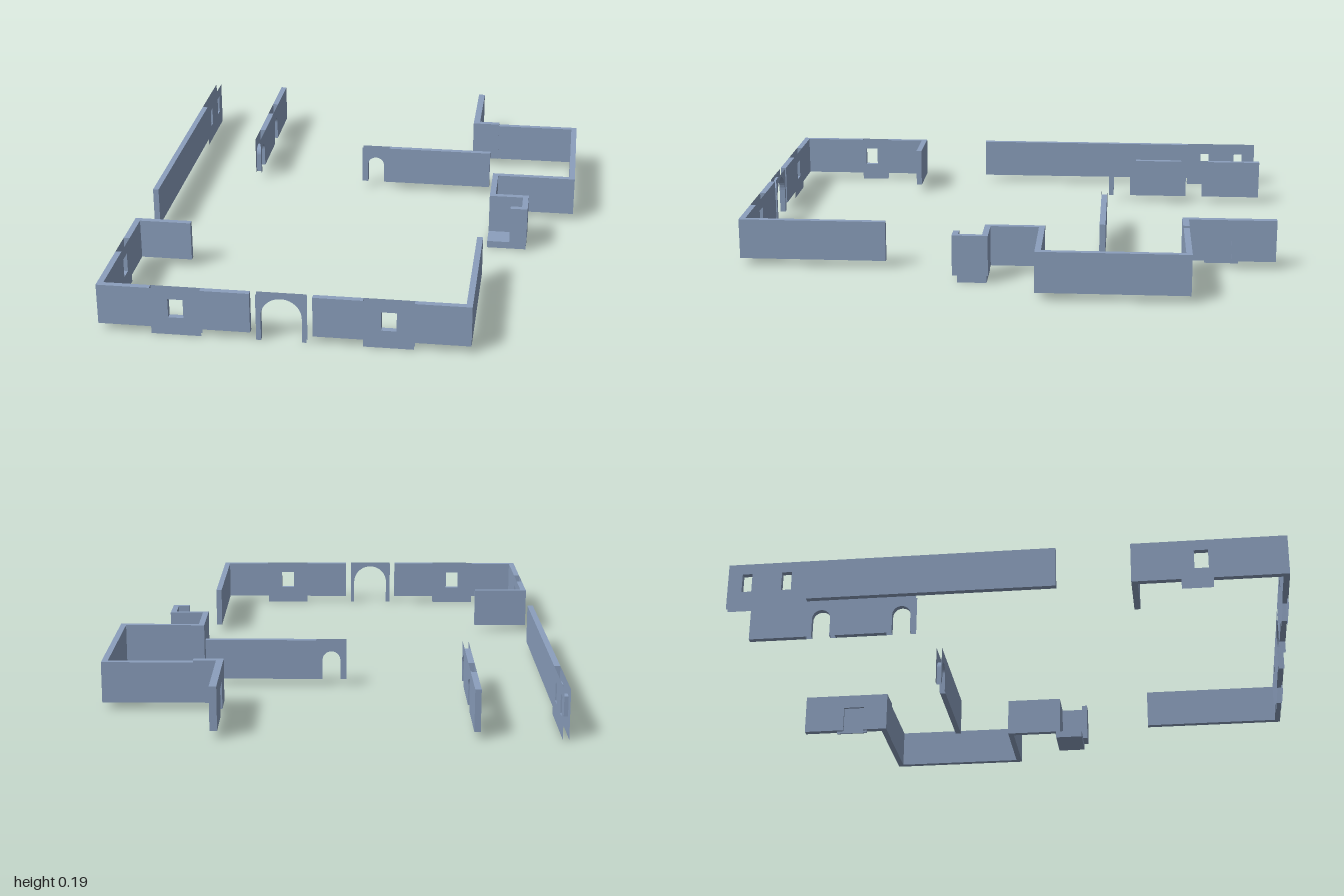
import * as THREE from 'three';

const T = 0.022;             // wall thickness
const Y0 = 0.027, Y1 = 0.178; // underside and top of the walls

export function createModel() {
  const root = new THREE.Group();
  const mat = new THREE.MeshStandardMaterial({ color: 0x8b9fbd, side: THREE.DoubleSide, flatShading: true });

  const add = (name, geo, parent = root) => {
    const mesh = new THREE.Mesh(geo, mat);
    mesh.name = name;
    parent.add(mesh);
    return mesh;
  };

  // Solid block between two corners on the plan
  const block = (name, x0, x1, z0, z1, y0 = Y0, y1 = Y1) =>
    add(name, new THREE.BoxGeometry(x1 - x0, y1 - y0, z1 - z0)
      .translate((x0 + x1) / 2, (y0 + y1) / 2, (z0 + z1) / 2));

  // Lining of an opening: a strip swept along its outline
  const lining = (pts, d0, d1) => {
    const pos = [], idx = [];
    pts.forEach((p, i) => {
      pos.push(p.x, p.y, d0, p.x, p.y, d1);
      if (i) { const a = 2 * i - 2; idx.push(a, a + 1, a + 2, a + 1, a + 3, a + 2); }
    });
    const g = new THREE.BufferGeometry();
    g.setAttribute('position', new THREE.Float32BufferAttribute(pos, 3));
    g.setIndex(idx);
    g.computeVertexNormals();
    return g;
  };

  // Hollow panel: two faces and the lining, open along its outer edges
  const panel = (name, shape, outline, start, alongZ) => {
    const group = new THREE.Group();
    group.name = name;
    const d0 = alongZ ? -start - T : start, d1 = d0 + T;
    add('panelFace', new THREE.ShapeGeometry(shape).translate(0, 0, d1), group);
    add('panelBack', new THREE.ShapeGeometry(shape).scale(1, 1, -1).translate(0, 0, d0), group);
    add('openingLining', lining(outline, d0, d1), group);
    if (alongZ) group.rotation.y = -Math.PI / 2;
    root.add(group);
  };

  const polygon = (c) => new THREE.Shape(c.map(([x, y]) => new THREE.Vector2(x, y)));

  const windowPanel = (u0, u1, w0, w1, start, alongZ) => {
    const shape = polygon([[u0, 0], [u1, 0], [u1, Y1], [u0, Y1]]);
    const hole = [[w0, 0.067], [w0, 0.138], [w1, 0.138], [w1, 0.067]].map(([x, y]) => new THREE.Vector2(x, y));
    shape.holes.push(new THREE.Path(hole));
    panel('windowPanel', shape, [...hole, hole[0]], start, alongZ);
  };

  const archPanel = (u0, u1, a0, a1, base, crown, start, alongZ) => {
    const r = (a1 - a0) / 2, c = (a0 + a1) / 2;
    const arch = [new THREE.Vector2(a0, base)];
    for (let i = 0; i <= 20; i++) {
      const t = Math.PI * (1 - i / 20);
      arch.push(new THREE.Vector2(c + r * Math.cos(t), crown - r + r * Math.sin(t)));
    }
    arch.push(new THREE.Vector2(a1, base));
    const shape = new THREE.Shape([new THREE.Vector2(u0, base), ...arch,
      new THREE.Vector2(u1, base), new THREE.Vector2(u1, Y1), new THREE.Vector2(u0, Y1)]);
    panel('archPanel', shape, arch, start, alongZ);
  };

  // Front wall: solid lengths, two windows and the gateway
  const zf = 1 - T;
  for (const [a, b] of [[-0.82, -0.63], [-0.452, -0.278], [-0.058, 0.118], [0.295, 0.492]])
    block('frontWall', a, b, zf, 1);
  windowPanel(-0.63, -0.452, -0.567, -0.513, zf, false);
  windowPanel(0.118, 0.295, 0.18, 0.234, zf, false);
  archPanel(-0.257, -0.08, -0.24, -0.095, 0, 0.165, zf, false);

  // Corner returns
  block('rightFrontWall', 0.47, 0.492, 0.45, zf);
  block('leftFrontWall', -0.82, -0.82 + T, 0.737, zf);
  block('leftFrontWall', -0.82, -0.82 + T, 0.45, 0.625);
  block('leftReturnWall', -0.82 + T, -0.605, 0.45, 0.45 + T);
  windowPanel(0.625, 0.737, 0.672, 0.722, -0.82, true);

  // Long left wall with two windows at its back end
  block('leftLongWall', -0.82, -0.82 + T, -0.71, 0.185);
  windowPanel(-0.865, -0.71, -0.803, -0.767, -0.82, true);
  windowPanel(-1, -0.865, -0.948, -0.912, -0.82, true);

  // Inner walls with arched doorways
  block('innerSideWall', -0.518, -0.518 + T, -1, -0.785);
  block('innerSideWall', -0.518, -0.518 + T, -0.672, -0.48);
  archPanel(-0.785, -0.672, -0.762, -0.693, Y0, 0.135, -0.518, true);
  archPanel(-0.48, -0.368, -0.457, -0.388, Y0, 0.135, -0.518, true);
  block('innerCrossWall', 0.052, 0.47, -0.366, -0.366 + T);
  archPanel(-0.06, 0.052, -0.037, 0.03, Y0, 0.135, -0.366, false);

  // Back right wall, slightly taller, with a recessed door
  const doorWall = polygon([[-1, Y0], [-0.835, Y0], [-0.835, 0.13], [-0.75, 0.13],
    [-0.75, Y0], [-0.65, Y0], [-0.65, 0.186], [-1, 0.186]]);
  add('doorWall', new THREE.ExtrudeGeometry(doorWall, { depth: 0.026, bevelEnabled: false })
    .translate(0, 0, -0.407).rotateY(-Math.PI / 2));
  block('door', 0.391, 0.397, -0.862, -0.735, 0.016, 0.135);
  block('doorReturnWall', 0.407, 0.49, -0.674, -0.65, Y0, 0.186);

  // Stepped right wall
  block('rightBackWall', 0.49, 0.82, -0.674, -0.652);
  block('rightOuterWall', 0.798, 0.82, -0.652, -0.145);
  block('rightStepWall', 0.494, 0.82, -0.145, -0.123);
  block('rightInnerWall', 0.494, 0.516, -0.123, 0.055);

  // Small open tower on its slab
  block('towerBackWall', 0.494, 0.645, 0.055, 0.077);
  block('towerSideWall', 0.623, 0.645, 0.077, 0.186);
  block('towerFrontWall', 0.58, 0.623, 0.164, 0.186);
  block('towerSlab', 0.494, 0.643, 0.06, 0.168, 0, Y0);

  return root;
}
